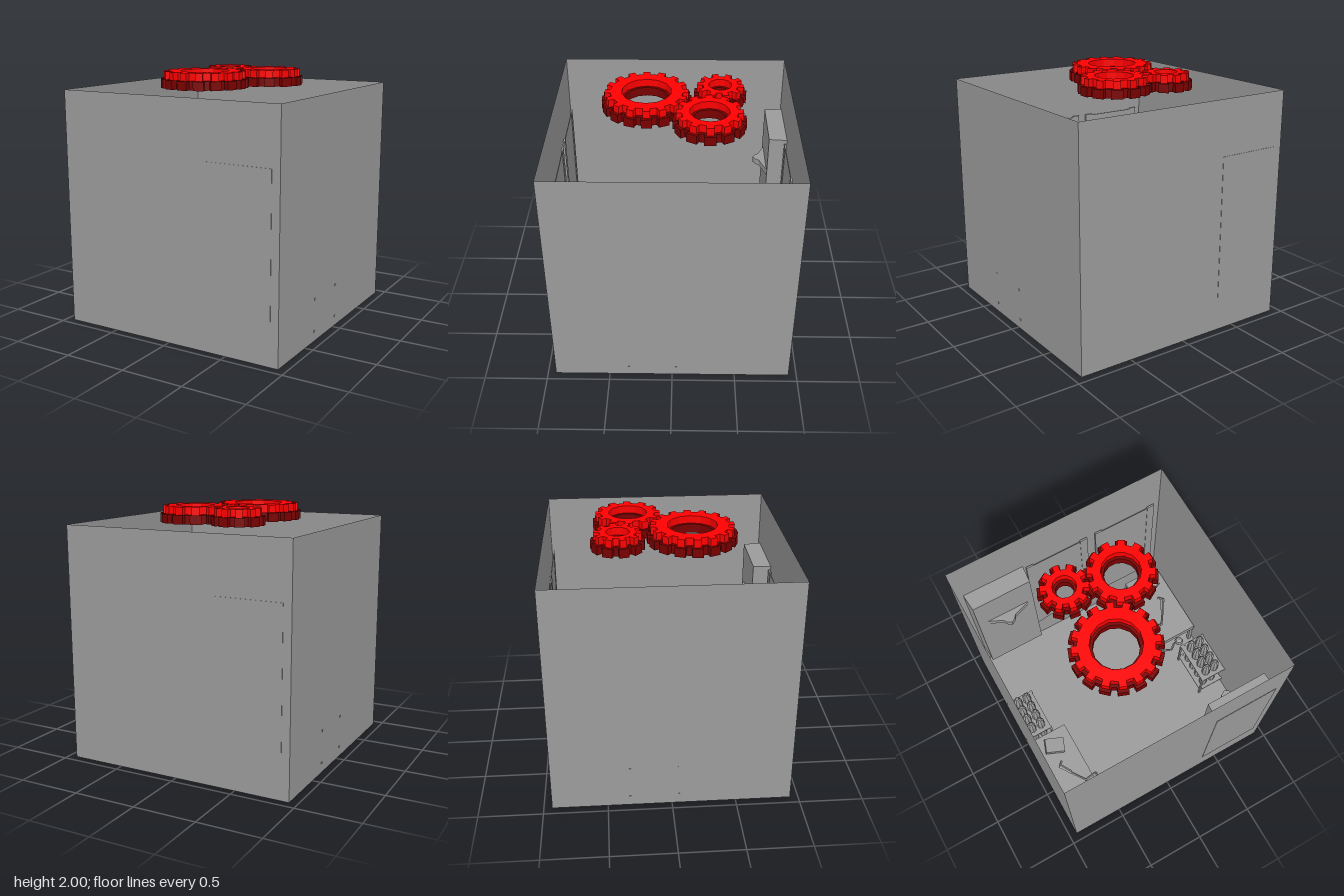
import * as THREE from 'three';

const grey = new THREE.MeshStandardMaterial({ color: 0x9b9b9b, flatShading: true });
const shellMat = new THREE.MeshStandardMaterial({ color: 0x9b9b9b, side: THREE.DoubleSide });
const red = new THREE.MeshStandardMaterial({ color: 0xff0000, flatShading: true });
const darkRed = new THREE.MeshStandardMaterial({ color: 0x7a0000, flatShading: true });

const H = 0.935; // half width of the room
const TOP = 1.87;

function add(parent, name, geometry, x = 0, y = 0, z = 0, material = grey) {
  const mesh = new THREE.Mesh(geometry, material);
  mesh.name = name;
  mesh.position.set(x, y, z);
  parent.add(mesh);
  return mesh;
}

// Box given by its two opposite corners
function block(parent, name, a, b) {
  const size = a.map((v, i) => b[i] - v);
  const mid = a.map((v, i) => (v + b[i]) / 2);
  return add(parent, name, new THREE.BoxGeometry(...size), ...mid);
}

function group(parent, name) {
  const g = new THREE.Group();
  g.name = name;
  parent.add(g);
  return g;
}

// Flat gear layer, lying in the xz plane; width is half a tooth as a share of the pitch
function gearGeometry(outer, root, hole, teeth, phase, height, width) {
  const shape = new THREE.Shape();
  const step = (Math.PI * 2) / teeth;
  for (let i = 0; i < teeth; i++) {
    const a = phase + i * step;
    const corners = [[root, -width], [outer, -width * 0.9], [outer, width * 0.9], [root, width]];
    corners.forEach(([r, k], j) => {
      const x = r * Math.cos(a + k * step);
      const y = r * Math.sin(a + k * step);
      if (i + j === 0) shape.moveTo(x, y);
      else shape.lineTo(x, y);
    });
  }
  shape.closePath();
  const bore = new THREE.Path();
  for (let i = 0; i < 14; i++) {
    const a = -(i / 14) * Math.PI * 2;
    if (i === 0) bore.moveTo(hole, 0);
    else bore.lineTo(hole * Math.cos(a), hole * Math.sin(a));
  }
  bore.closePath();
  shape.holes.push(bore);
  return new THREE.ExtrudeGeometry(shape, { depth: height, bevelEnabled: false }).rotateX(-Math.PI / 2);
}

function gear(parent, name, x, z, outer, root, hole, teeth, phase) {
  const g = group(parent, name);
  g.position.set(x, 0, z);
  add(g, 'gearLowerLayer', gearGeometry(outer, root, hole - 0.012, teeth, phase, 0.07, 0.34), 0, TOP, 0, darkRed);
  add(g, 'gearUpperLayer', gearGeometry(outer - 0.025, root - 0.025, hole + 0.01, teeth, phase, 0.06, 0.25), 0, TOP + 0.07, 0, red);
}

// Wall cabinet on the back wall, with a shaped ledge
function cabinet(parent) {
  const g = group(parent, 'wallCabinet');
  const body = new THREE.BoxGeometry(0.53, 1.15, 0.15);
  const p = body.attributes.position;
  for (let i = 0; i < p.count; i++) if (p.getZ(i) > 0) p.setX(i, p.getX(i) * 0.955);
  add(g, 'cabinetBody', body, -0.605, 0.855, -0.863);
  const ledge = new THREE.Shape();
  [[-0.78, 0.79], [-0.66, 0.735], [-0.64, 0.705], [-0.605, 0.685], [-0.57, 0.705], [-0.55, 0.735], [-0.395, 0.79]]
    .forEach(([x, y], i) => (i ? ledge.lineTo(x, y) : ledge.moveTo(x, y)));
  add(g, 'cabinetLedge', new THREE.ExtrudeGeometry(ledge, { depth: 0.05, bevelEnabled: false }).rotateX(-Math.PI / 2), 0, 1.05, 0);
}

// Thin framed panel on the back wall
function wallPanel(parent, x) {
  const g = group(parent, 'wallPanel');
  block(g, 'panelSheet', [x, 0.31, -0.92], [x + 0.56, 1.4, -0.914]);
  for (const px of [x, x + 0.495]) block(g, 'panelSideRail', [px, 0.3, -0.925], [px + 0.065, 1.41, -0.91]);
}

// Rack of bottles against the +x wall
function rack(parent, zShift) {
  const g = group(parent, 'bottleRack');
  g.position.z = zShift;
  const profile = [[0, 0], [0.036, 0], [0.036, 0.11], [0.024, 0.15], [0.012, 0.17], [0, 0.175]]
    .map(([r, y]) => new THREE.Vector2(r, y));
  const bottle = new THREE.LatheGeometry(profile, 8);
  for (const y of [0.08, 0.34]) {
    block(g, 'rackShelf', [0.695, y - 0.006, -0.03], [0.93, y + 0.006, 0.345]);
    for (const z of [-0.03, 0.345]) block(g, 'rackBar', [0.69, y - 0.008, z - 0.008], [0.939, y + 0.008, z + 0.008]);
    for (const x of [0.765, 0.85]) {
      for (let i = 0; i < 4; i++) add(g, 'bottle', bottle, x, y + 0.006, 0.03 + i * 0.086);
    }
  }
  for (const z of [-0.03, 0.345]) block(g, 'rackPost', [0.69, 0, z - 0.008], [0.706, 0.348, z + 0.008]);
}

// Round bar along straight pieces
function bar(parent, name, points, radius) {
  const path = new THREE.CurvePath();
  for (let i = 1; i < points.length; i++) path.add(new THREE.LineCurve3(points[i - 1], points[i]));
  add(parent, name, new THREE.TubeGeometry(path, 24 * (points.length - 1), radius, 5, false));
}

// Bed with pillow, and a bent arm with a round end; side is +1 or -1
function bed(parent, side, zShift) {
  const g = group(parent, 'bedSet');
  block(g, 'bedTop', [side > 0 ? 0.58 : -0.92, 0.24, -0.85 + zShift], [side > 0 ? 0.92 : -0.58, 0.3, -0.16 + zShift]);
  for (const x of [0.6, 0.9]) {
    for (const z of [-0.83, -0.18]) add(g, 'bedLeg', new THREE.BoxGeometry(0.03, 0.24, 0.03), x * side, 0.12, z + zShift);
  }
  const pillow = add(g, 'pillow', new THREE.BoxGeometry(0.165, 0.05, 0.125), 0.75 * side, 0.34, -0.71 + zShift);
  pillow.rotation.y = side * 0.35;
  pillow.rotation.z = side * 0.2;
  const place = ([x, y, z]) => new THREE.Vector3(x * side, y, z + zShift);
  bar(g, 'bentArm', [[0.76, 0.34, -0.56], [0.8, 0.34, -0.52], [0.655, 0.34, -0.31], [0.55, 0.34, -0.325], [0.55, 0.34, -0.26],
    [0.485, 0.34, -0.165], [0.505, 0.33, -0.095], [0.61, 0.32, -0.055], [0.665, 0.31, -0.1], [0.72, 0.3, -0.1]].map(place), 0.01);
  bar(g, 'armGrip', [[0.79, 0.34, -0.525], [0.735, 0.34, -0.43]].map(place), 0.016);
  add(g, 'armEnd', new THREE.SphereGeometry(0.041, 8, 4), 0.72 * side, 0.3, -0.1 + zShift);
}

export function createModel() {
  const model = new THREE.Group();
  model.name = 'openRoomWithGears';

  // Open-topped shell
  const shell = group(model, 'roomShell');
  const wall = new THREE.PlaneGeometry(2 * H, TOP);
  for (let i = 0; i < 4; i++) {
    const a = (i * Math.PI) / 2;
    add(shell, 'wall', wall, Math.sin(a) * H, TOP / 2, Math.cos(a) * H, shellMat).rotation.y = a;
  }
  add(shell, 'floor', new THREE.PlaneGeometry(2 * H, 2 * H).rotateX(-Math.PI / 2), 0, 0, 0, shellMat);

  // Meshing gears over the opening
  gear(model, 'largeGear', -0.12, 0.21, 0.348, 0.305, 0.183, 16, 1.6);
  gear(model, 'mediumGear', 0.19, -0.27, 0.278, 0.238, 0.14, 12, Math.PI / 2);
  gear(model, 'smallGear', -0.23, -0.36, 0.207, 0.163, 0.08, 10, 1.47);

  // Fittings repeated on opposite walls
  for (let i = 0; i < 2; i++) {
    const half = group(model, i ? 'frontFittings' : 'backFittings');
    half.rotation.y = i * Math.PI;
    cabinet(half);
    wallPanel(half, -0.32);
    wallPanel(half, 0.315);
    rack(half, i * -0.022);
  }
  bed(model, 1, 0);
  bed(model, -1, 0.93);
  return model;
}
